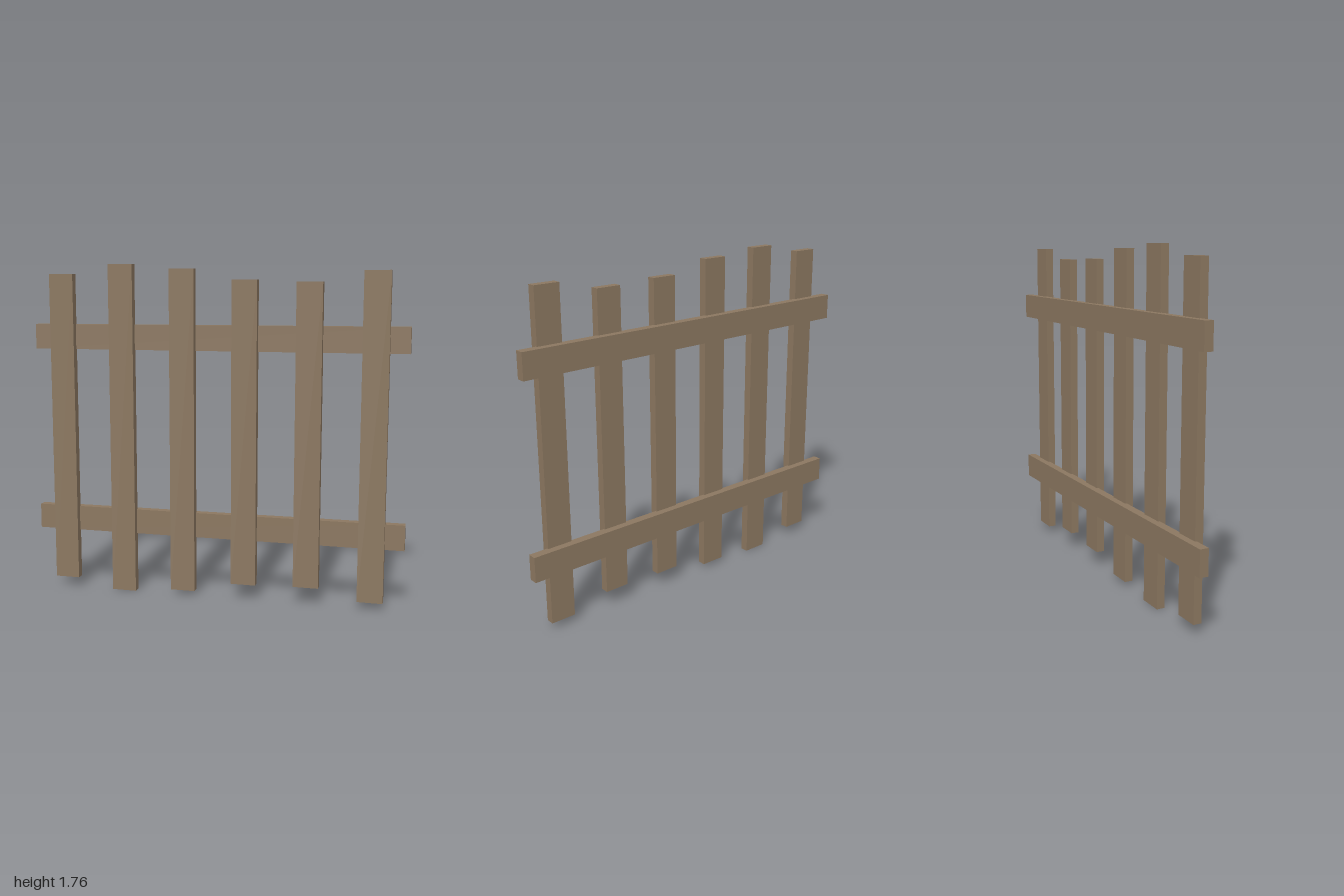
import * as THREE from 'three';

export function createModel() {
  const fence = new THREE.Group();
  fence.name = 'fence';
  const wood = new THREE.MeshStandardMaterial({ color: 0x8b7760 });
  wood.name = 'weathered wood';

  const BOARD = 0.133; // face width shared by pickets and rails
  const MID = 0.8825; // pickets are all centred on this height

  function board(name, w, h, d, x, y, z) {
    const mesh = new THREE.Mesh(new THREE.BoxGeometry(w, h, d), wood);
    mesh.name = name;
    mesh.position.set(x, y, z);
    fence.add(mesh);
  }

  // Upright pickets of uneven length, from the model's right to its left
  [1.664, 1.765, 1.714, 1.598, 1.578, 1.686].forEach((height, i) => {
    board(`picket${i + 1}`, BOARD, height, 0.043, (i - 2.5) / 3, MID, 0.0185);
  });

  // Horizontal rails, slightly sunk into the backs of the pickets
  board('lowerRail', 2, BOARD, 0.046, 0, 0.383, -0.017);
  board('upperRail', 2, BOARD, 0.046, 0, 1.383, -0.017);

  return fence;
}
